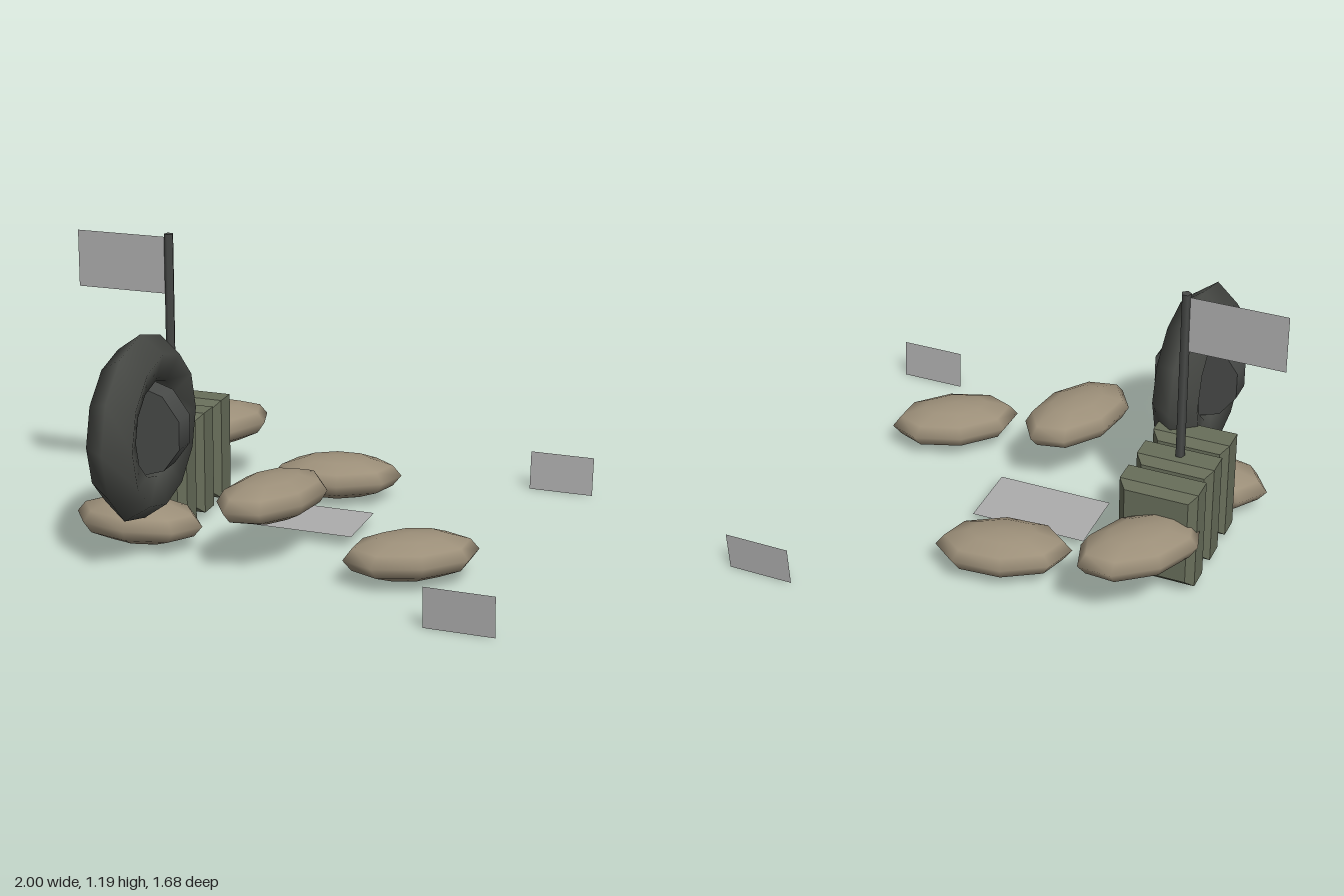
import * as THREE from 'three';

const mat = (name, color, extra = {}) => {
  const m = new THREE.MeshStandardMaterial({ color, ...extra });
  m.name = name;
  return m;
};

export function createModel() {
  const group = new THREE.Group();
  const burlap = mat('burlap', 0x9c8f79);
  const olive = mat('olive metal', 0x686e5a);
  const rubber = mat('rubber', 0x474945);
  const steel = mat('dark steel', 0x484a48);
  const paper = mat('grey panel', 0xadadad, { side: THREE.DoubleSide });

  const add = (name, geometry, material, x, y, z) => {
    const mesh = new THREE.Mesh(geometry, material);
    mesh.name = name;
    mesh.position.set(x, y, z);
    group.add(mesh);
    return mesh;
  };

  // Sandbags: flattened low-poly ellipsoids, two of them in the upper layer
  const bag = new THREE.SphereGeometry(1, 8, 6).scale(0.272, 0.09, 0.161);
  const bags = [
    [-0.58, 0.11, 0.345, 0],
    [-0.01, 0.278, 0.347, 1.17],
    [0.556, 0.11, 0.345, 0.58],
    [-0.01, 0.11, -0.42, 0.31],
    [-0.578, 0.278, -0.42, 0.896],
  ];
  for (const [x, y, z, turn] of bags) add('sandbag', bag, burlap, x, y, z).rotation.y = turn;

  // Row of three bevelled fuel cans
  const w = 0.16, h = 0.215, bevel = 0.03, depth = 0.155;
  const face = new THREE.Shape();
  face.moveTo(-w + bevel, -h + bevel);
  face.lineTo(w - bevel, -h + bevel);
  face.lineTo(w - bevel, h - bevel);
  face.lineTo(-w + bevel, h - bevel);
  face.closePath();
  const can = new THREE.ExtrudeGeometry(face, {
    depth: depth - 2 * bevel, bevelEnabled: true, bevelSegments: 1,
    bevelSize: bevel, bevelThickness: bevel,
  }).translate(0, 0, -depth / 2 + bevel);
  for (let i = -1; i <= 1; i++) add('fuelCan', can, olive, -0.597, 0.25, -0.04 + i * 0.185);

  // Upright tyre and the drum crossing its middle
  add('tyre', new THREE.TorusGeometry(0.273, 0.1, 5, 12).rotateY(Math.PI / 2), rubber, -0.5, 0.54, 0.467);
  add('hub', new THREE.CylinderGeometry(0.185, 0.185, 0.105, 10).rotateX(Math.PI / 2), steel, -0.5, 0.54, 0.467);

  // Pole with flag
  add('pole', new THREE.CylinderGeometry(0.02, 0.02, 0.79, 5), steel, -0.597, 0.795, -0.038);
  add('flag', new THREE.PlaneGeometry(0.4, 0.235), paper, -0.8, 1.058, -0.038);

  // Flat ground sheet and two leaning panels
  add('groundSheet', new THREE.PlaneGeometry(0.486, 0.29).rotateX(-Math.PI / 2), paper, -0.012, 0.05, -0.042);
  const panel = new THREE.PlaneGeometry(0.273, 0.166);
  add('frontPanel', panel, paper, 0.863, 0.083, 0.759).rotation.x = 0.07;
  add('backPanel', panel, paper, 0.863, 0.083, -0.835).rotation.x = -0.07;

  return group;
}
